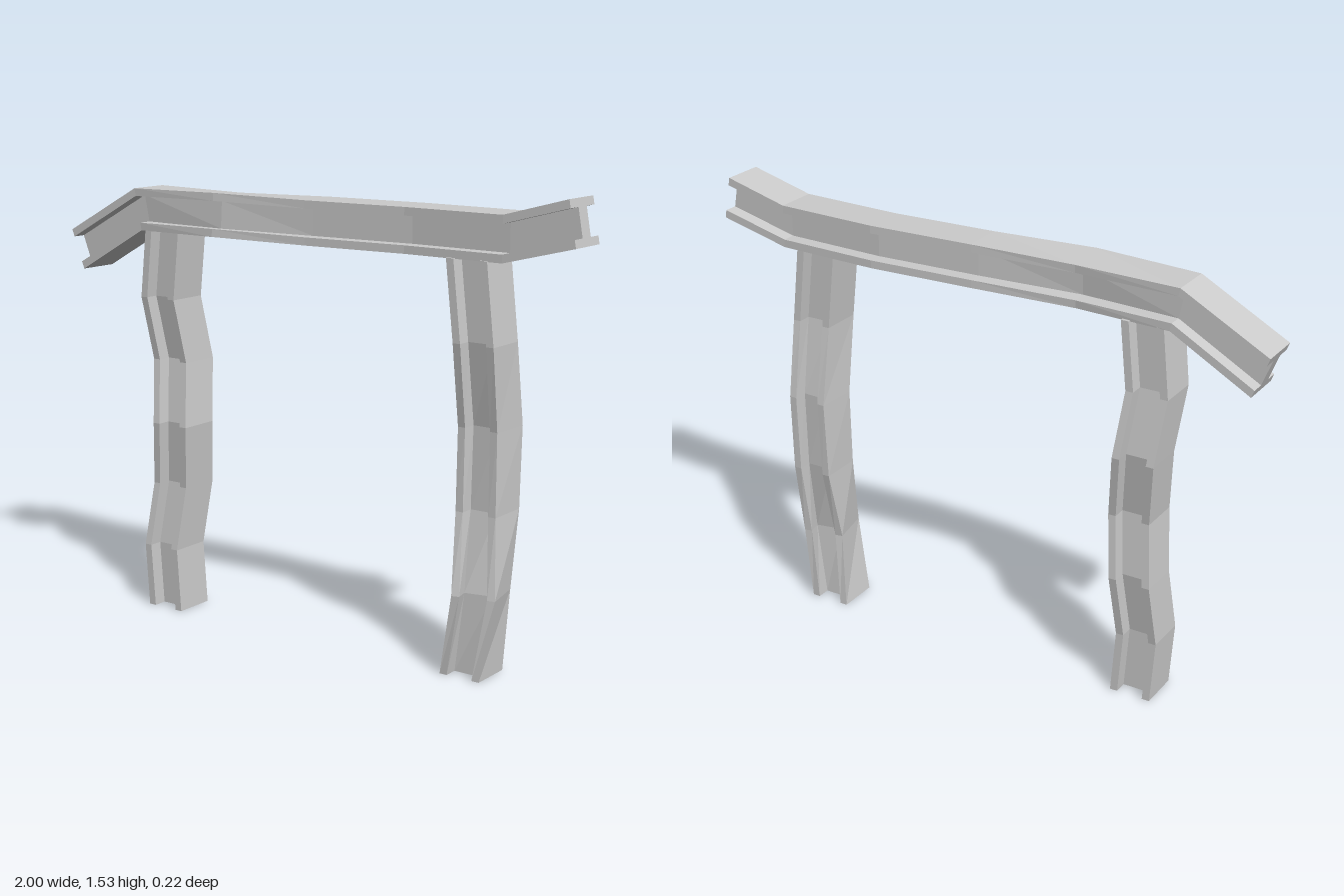
import * as THREE from 'three';

const H = 0.0725;  // half size of the I section
const F = 0.046;   // inner face of the flanges
const W = 0.025;   // half thickness of the web

// I section, counter-clockwise: u runs along the flanges, v across them
const half = [[W, -F], [H, -F], [H, -H], [-H, -H], [-H, -F], [-W, -F]];
const section = [...half, ...half.map(([u, v]) => [-u, -v])]
  .map(([u, v]) => new THREE.Vector2(u, v)).reverse();
if (THREE.ShapeUtils.area(section) < 0) section.reverse();

// Skin a run of stations; place(station, u, v) returns a corner
function loft(name, stations, place, material) {
  const rings = stations.map((s) => section.map((p) => place(s, p.x, p.y)));
  const pos = [];
  const tri = (...pts) => pts.forEach((p) => pos.push(p.x, p.y, p.z));
  const n = section.length;
  for (let k = 0; k < rings.length - 1; k++) {
    const a = rings[k], b = rings[k + 1];
    for (let i = 0; i < n; i++) {
      const j = (i + 1) % n;
      tri(a[i], a[j], b[j]);
      tri(a[i], b[j], b[i]);
    }
  }
  // end caps
  const first = rings[0], last = rings[rings.length - 1];
  for (const [i, j, k] of THREE.ShapeUtils.triangulateShape(section, [])) {
    tri(first[k], first[j], first[i]);
    tri(last[i], last[j], last[k]);
  }
  const g = new THREE.BufferGeometry();
  g.setAttribute('position', new THREE.Float32BufferAttribute(pos, 3));
  g.computeVertexNormals();
  const mesh = new THREE.Mesh(g, material);
  mesh.name = name;
  return mesh;
}

// Upright girder: station = [y, x, z, twist]
function placeLeg([y, x, z, twist], u, v) {
  const c = Math.cos(twist), s = Math.sin(twist);
  return new THREE.Vector3(x + v * c + u * s, y, z + u * c - v * s);
}

// Lying girder: station = [x, y, z, tilt, twist]
function placeBeam([x, y, z, tilt, twist], u, v) {
  const c = Math.cos(twist), s = Math.sin(twist);
  const up = u * s + v * c;
  return new THREE.Vector3(x - up * Math.sin(tilt), y + up * Math.cos(tilt), z + u * c - v * s);
}

export function createModel() {
  const group = new THREE.Group();
  group.name = 'bentGirderFrame';
  const material = new THREE.MeshStandardMaterial({ color: 0xcccccc, flatShading: true });

  // Crossbeam with bent ends
  const beam = [
    [-0.975, 1.243, 0.004, 0.37, 0],
    [-0.69, 1.4, 0.004, 0.2, 0],
    [-0.34, 1.4, 0.03, 0, 0.07],
    [0.02, 1.4, 0.004, 0, 0],
    [0.39, 1.4, -0.012, 0, 0],
    [0.75, 1.4, 0.004, 0, 0],
    [0.983, 1.46, 0.004, 0.18, 0],
  ];
  group.add(loft('crossbeam', beam.reverse(), placeBeam, material));

  // Wavy right leg
  group.add(loft('rightLeg', [
    [0, -0.583, 0.02, 0],
    [0.22, -0.597, 0.022, 0],
    [0.44, -0.58, -0.012, 0],
    [0.66, -0.562, 0.007, 0],
    [0.88, -0.585, -0.028, 0],
    [1.1, -0.607, 0.007, 0],
    [1.33, -0.583, 0.007, 0],
  ], placeLeg, material));

  // Twisted left leg
  group.add(loft('leftLeg', [
    [0, 0.628, 0.007, 0],
    [0.27, 0.659, 0.007, 0.2],
    [0.53, 0.653, -0.033, 0],
    [0.8, 0.655, -0.037, -0.04],
    [1.07, 0.657, 0.007, 0],
    [1.33, 0.628, 0.007, 0],
  ], placeLeg, material));

  return group;
}
